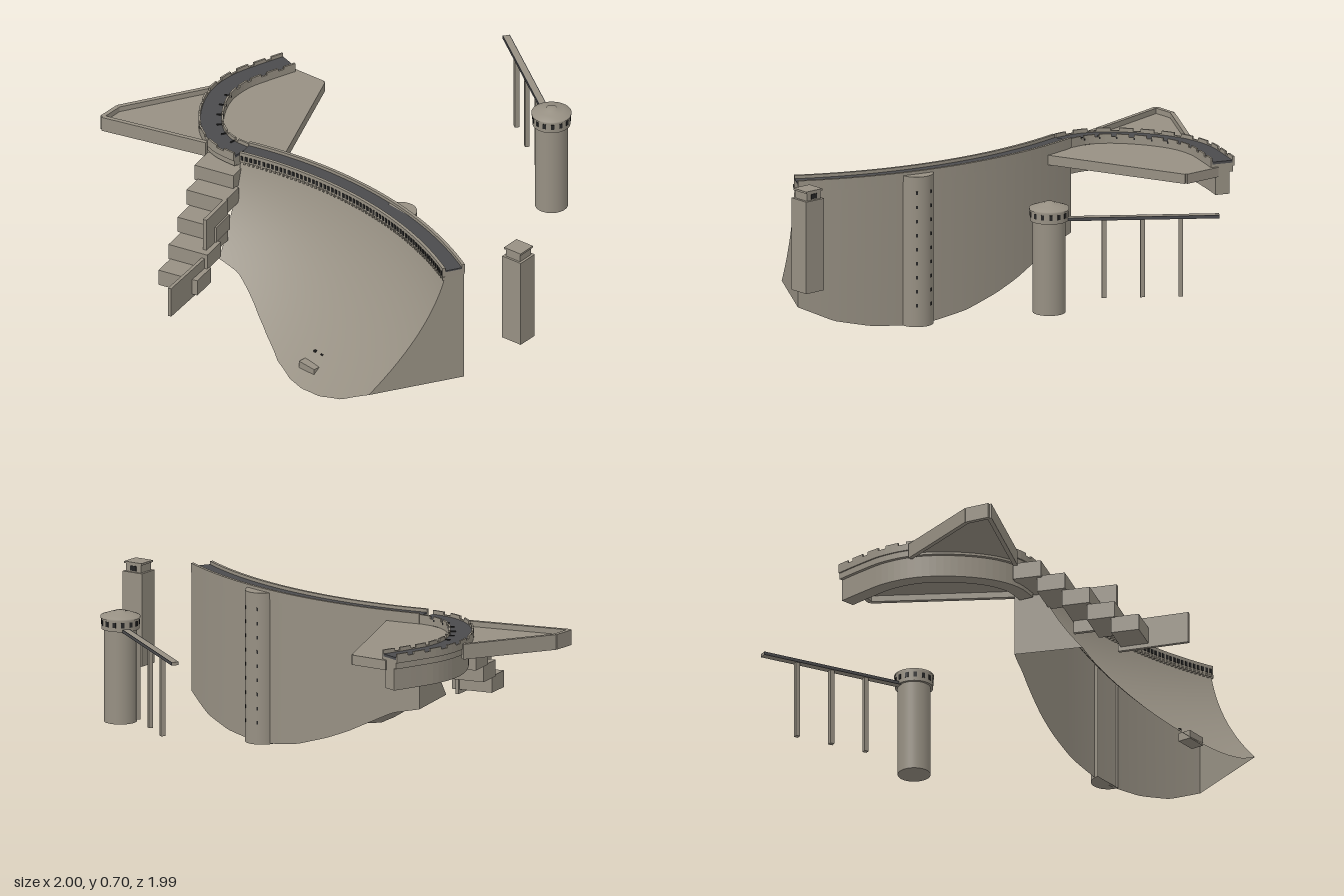
import * as THREE from 'three';

const mat = (name, color) => {
  const m = new THREE.MeshStandardMaterial({ color, side: THREE.DoubleSide });
  m.name = name;
  return m;
};

export function createModel() {
  const stone = mat('stone', 0x979083);
  const asphalt = mat('asphalt', 0x4b4b4d);
  const dark = mat('dark openings', 0x252525);
  const model = new THREE.Group();

  const add = (name, geo, material, parent) => {
    const m = new THREE.Mesh(geo, material);
    m.name = name;
    parent.add(m);
    return m;
  };
  const group = (name) => {
    const g = new THREE.Group();
    g.name = name;
    model.add(g);
    return g;
  };
  const box = (name, w, h, d, x, y, z, ry, material, parent) => {
    const m = add(name, new THREE.BoxGeometry(w, h, d), material, parent);
    m.position.set(x, y, z);
    m.rotation.y = ry;
  };
  // Upright prism over a plan outline of [x, z] points
  const prism = (pts, y0, y1) => {
    const shape = new THREE.Shape(pts.map(([x, z]) => new THREE.Vector2(x, -z)));
    const geo = new THREE.ExtrudeGeometry(shape, { depth: y1 - y0, bevelEnabled: false });
    return geo.rotateX(-Math.PI / 2).translate(0, y0, 0);
  };
  // Plan points shifted sideways from a path
  const offset = (path, d) => path.map(([x, z], i) => {
    const a = path[Math.max(i - 1, 0)], b = path[Math.min(i + 1, path.length - 1)];
    const tx = b[0] - a[0], tz = b[1] - a[1], l = Math.hypot(tx, tz);
    return [x + (tz / l) * d, z - (tx / l) * d];
  });
  const ribbon = (path, d0, d1, y0, y1) =>
    prism([...offset(path, d0), ...offset(path, d1).reverse()], y0, y1);
  // Surface from a rule f(u, v)
  const sheet = (nu, nv, f) => {
    const pos = [], idx = [];
    for (let i = 0; i <= nu; i++) for (let j = 0; j <= nv; j++) {
      pos.push(...f(i / nu, j / nv));
      if (i < nu && j < nv) {
        const a = i * (nv + 1) + j, b = a + nv + 1;
        idx.push(a, b, a + 1, b, b + 1, a + 1);
      }
    }
    const g = new THREE.BufferGeometry();
    g.setAttribute('position', new THREE.Float32BufferAttribute(pos, 3));
    g.setIndex(idx);
    g.computeVertexNormals();
    return g;
  };

  // Arch dam: radial sections around a distant centre, open underneath
  const CX = 0.22, CZ = 1.91, R = 1.71, TOP = 0.59;
  const angleAt = (x) => Math.asin((x - CX) / R);
  const A0 = angleAt(-0.41), A1 = angleAt(0.86);
  const polar = (a, r) => [CX + r * Math.sin(a), CZ - r * Math.cos(a)];
  const thick = (y) => 0.08 + 0.25 * (0.6 - y) + 0.85 * (0.6 - y) ** 2;
  const bed = [[-0.41, 0.24], [-0.3, 0.215], [-0.2, 0.165], [-0.1, 0.115], [0, 0.075], [0.15, 0.028],
    [0.3, 0.004], [0.42, 0], [0.57, 0.012], [0.72, 0.045], [0.86, 0.11]];
  const bedY = (a) => {
    const x = CX + R * Math.sin(a);
    let i = 0;
    while (i < bed.length - 2 && x > bed[i + 1][0]) i++;
    return THREE.MathUtils.mapLinear(x, bed[i][0], bed[i + 1][0], bed[i][1], bed[i + 1][1]);
  };
  const damPoint = (a, v, depth) => {
    const y = THREE.MathUtils.lerp(bedY(a), TOP, v);
    const [x, z] = polar(a, R - depth * thick(y));
    return [x, y, z];
  };
  const sweep = (u) => THREE.MathUtils.lerp(A0, A1, u);
  const dam = group('dam');
  add('upstreamFace', sheet(50, 2, (u, v) => damPoint(sweep(u), v, 0)), stone, dam);
  add('downstreamFace', sheet(50, 20, (u, v) => damPoint(sweep(u), v, 1)), stone, dam);
  for (const a of [A0, A1]) add('endFace', sheet(1, 20, (u, v) => damPoint(a, v, u)), stone, dam);

  // Crest road with parapets, and openings and brackets on the downstream side
  const crestPath = [];
  for (let i = 0; i <= 48; i++) crestPath.push(polar(sweep(1 - i / 48), 1.665));
  const crest = group('crest');
  add('crestSlab', ribbon(crestPath, -0.046, 0.046, 0.588, 0.614), stone, crest);
  add('crestRoad', ribbon(crestPath, -0.035, 0.035, 0.614, 0.62), asphalt, crest);
  for (const s of [-1, 1]) add('parapet', ribbon(crestPath, s * 0.035, s * 0.048, 0.594, 0.633), stone, crest);
  for (let i = 0; i < 62; i++) {
    const a = sweep((i + 0.5) / 62);
    const [x, z] = polar(a, 1.617);
    box('parapetOpening', 0.011, 0.019, 0.005, x, 0.609, z, -a, dark, crest);
    const [bx, bz] = polar(a + 0.006, 1.622);
    box('bracket', 0.008, 0.014, 0.012, bx, 0.587, bz, -a, stone, crest);
  }

  // Curved approach road on a retaining wall
  const curve = new THREE.CatmullRomCurve3([[-0.4, 0.372], [-0.5, 0.38], [-0.6, 0.345], [-0.71, 0.25], [-0.79, 0.125],
    [-0.815, 0], [-0.802, -0.12], [-0.782, -0.232]].map(([x, z]) => new THREE.Vector3(x, 0, z)));
  const roadPath = curve.getSpacedPoints(32).map((p) => [p.x, p.z]);
  const approach = group('approachRoad');
  add('retainingWall', ribbon(roadPath, -0.03, 0.03, 0.475, 0.57), stone, approach);
  add('roadBed', ribbon(roadPath, -0.044, 0.044, 0.565, 0.602), stone, approach);
  add('roadSurface', ribbon(roadPath, -0.042, 0.042, 0.602, 0.612), asphalt, approach);
  for (const s of [-1, 1]) add('kerb', ribbon(roadPath, s * 0.042, s * 0.05, 0.59, 0.617), stone, approach);
  for (let i = 1; i < 32; i += 3) {
    for (const s of [-1, 1]) {
      add('parapetBlock', ribbon(roadPath.slice(i - 1, i + 2), s * 0.042, s * 0.05, 0.617, 0.628), stone, approach);
    }
  }
  for (let i = 3; i < 20; i += 3) {
    const [x, z] = offset(roadPath, -0.036)[i];
    const t = curve.getTangentAt(i / 32);
    box('drain', 0.006, 0.008, 0.03, x, 0.612, z, Math.atan2(-t.z, t.x), dark, approach);
  }

  // Side terraces: thin decks with skirts round the free edges
  const terrace = (name, pts, edges, rimTop) => {
    const g = group(name);
    add('deck', prism(pts, 0.575, 0.59), stone, g);
    for (let i = 0; i < edges; i++) {
      add('skirt', ribbon([pts[i], pts[i + 1]], -0.009, 0.009, 0.55, rimTop), stone, g);
    }
  };
  terrace('backTerrace', [[-0.76, -0.225], [-0.6, -0.25], [-0.28, 0.28], [-0.4, 0.34], [-0.56, 0.32],
    [-0.68, 0.23], [-0.76, 0.1], [-0.785, 0]], 2, 0.59);
  terrace('leftTerrace', [[-0.845, 0.12], [-0.99, 0.5], [-0.975, 0.6], [-0.55, 0.425], [-0.7, 0.3]], 3, 0.612);

  // Stepped blocks going down beside the dam
  const stairs = group('stairs');
  const steps = [[-0.45, 0.44, 0.56], [-0.405, 0.525, 0.5], [-0.36, 0.615, 0.43], [-0.315, 0.705, 0.36], [-0.275, 0.795, 0.295]];
  for (const [x, z, top] of steps) box('step', 0.175, 0.068, 0.115, x, top - 0.034, z, 0.34, stone, stairs);
  add('upperStairWall', ribbon([[-0.31, 0.54], [-0.25, 0.71]], -0.008, 0.008, 0.31, 0.5), stone, stairs);
  add('lowerStairWall', ribbon([[-0.24, 0.71], [-0.152, 0.99]], -0.007, 0.007, 0.21, 0.34), stone, stairs);

  // Half-round shaft on the upstream face with two columns of slots
  const shaft = group('intakeShaft');
  const half = new THREE.CylinderGeometry(0.068, 0.068, 0.62, 24, 1, false, Math.PI / 2, Math.PI);
  add('shaftBody', half, stone, shaft).position.set(0.37, 0.311, 0.222);
  for (const a of [-0.5, 0.5]) for (let i = 0; i < 9; i++) {
    box('slot', 0.007, 0.014, 0.004, 0.37 + 0.067 * Math.sin(a), 0.09 + i * 0.058, 0.222 - 0.067 * Math.cos(a), -a, dark, shaft);
  }

  // Outlet block near the toe
  const outlet = group('outlet');
  box('outletBlock', 0.09, 0.035, 0.055, 0.325, 0.053, 0.66, 0, stone, outlet);
  for (const x of [0.305, 0.345]) box('outletHole', 0.012, 0.008, 0.009, x, 0.1, 0.62, 0, dark, outlet);

  // Free-standing round tower with a windowed head
  const tower = group('tower');
  tower.position.set(0.29, 0, -0.67);
  add('towerBody', new THREE.CylinderGeometry(0.066, 0.066, 0.385, 40), stone, tower).position.y = 0.4375;
  add('towerHead', new THREE.CylinderGeometry(0.076, 0.076, 0.05, 40), stone, tower).position.y = 0.65;
  const roof = [[0.08, 0.67], [0.08, 0.677], [0.05, 0.688], [0.022, 0.694], [0.02, 0.699], [0, 0.7]];
  add('towerRoof', new THREE.LatheGeometry(roof.map(([r, y]) => new THREE.Vector2(r, y)), 40), stone, tower);
  for (let i = 0; i < 14; i++) {
    const a = (i / 14) * Math.PI * 2;
    box('towerWindow', 0.013, 0.021, 0.005, 0.075 * Math.sin(a), 0.652, 0.075 * Math.cos(a), a, dark, tower);
  }

  // Footbridge on slender piers
  const bridge = group('footbridge');
  const span = [[0.24, -0.697], [-0.315, -0.98]];
  add('bridgeDeck', ribbon(span, -0.012, 0.012, 0.622, 0.635), stone, bridge);
  for (const s of [-1, 1]) add('bridgeEdge', ribbon(span, s * 0.012, s * 0.015, 0.622, 0.635), asphalt, bridge);
  for (const [x, z] of [[0.096, -0.77], [-0.041, -0.84], [-0.178, -0.91]]) {
    box('pier', 0.018, 0.322, 0.018, x, 0.461, z, -0.47, stone, bridge);
  }

  // Square shaft with a lidded top
  const gate = group('squareTower');
  gate.position.set(0.944, 0, 0.108);
  gate.rotation.y = 0.16;
  box('shaft', 0.094, 0.38, 0.09, 0, 0.435, 0, 0, stone, gate);
  box('cabin', 0.072, 0.035, 0.072, 0, 0.64, 0, 0, stone, gate);
  box('lid', 0.084, 0.008, 0.08, 0, 0.661, 0, 0, stone, gate);
  box('opening', 0.03, 0.02, 0.006, 0, 0.64, -0.036, 0, dark, gate);

  return model;
}
